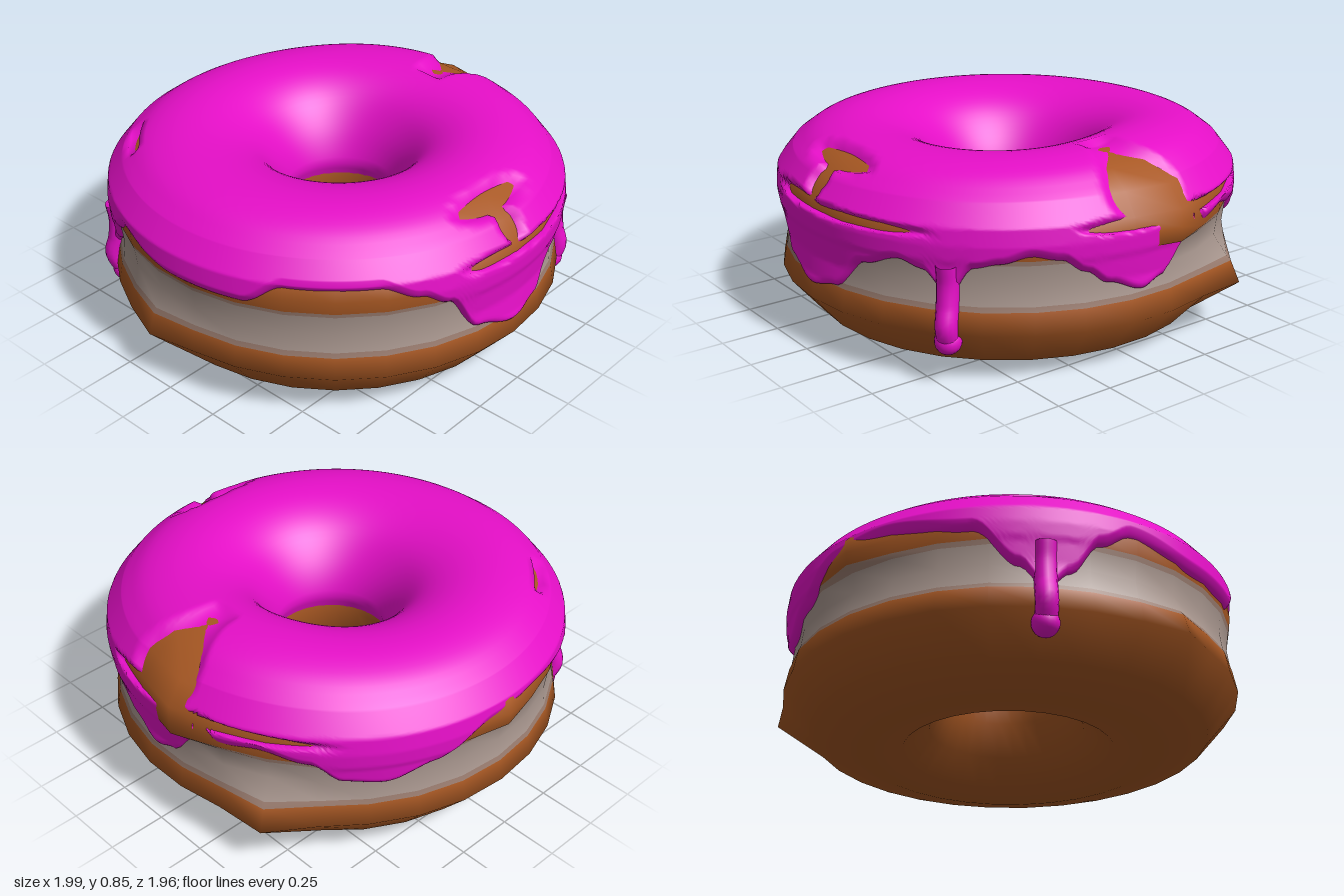
import * as THREE from 'three';

const RAD = Math.PI / 180;
const clamp = THREE.MathUtils.clamp;
const mat = (name, color, side = THREE.FrontSide) =>
  Object.assign(new THREE.MeshStandardMaterial({ color, side }), { name });

// signed angular difference in degrees, and a bell-shaped bump around an angle
const dAng = (a, b) => ((a - b + 540) % 360 + 360) % 360 - 180;
const bump = (a, centre, width) => Math.exp(-((dAng(a, centre) / width) ** 2));

// dough cross-section [radius, height]: hole, over the top, down the wall, under
const PROFILE = [
  [.25, .40], [.26, .50], [.31, .62], [.40, .73], [.52, .79], [.66, .805], [.79, .775],
  [.88, .715], [.945, .635], [.952, .57], [.947, .515], [.94, .495], [.93, .41], [.94, .33],
  [.948, .31], [.965, .22], [.83, .062], [.62, .005], [.45, .025], [.33, .13], [.265, .27],
];
const WALL = PROFILE.slice(7, 17);

// wall radius at a height
function wallRadius(y) {
  for (let i = 0; i < WALL.length - 1; i++) {
    const [r0, y0] = WALL[i], [r1, y1] = WALL[i + 1];
    if (y >= y1) return r0 + (r1 - r0) * clamp((y - y0) / (y1 - y0), 0, 1);
  }
  return .83;
}

// lower rim of the icing: [angle, height], angle 0 = +x, 90 = front
const RIM = [
  [3, .34], [12, .39], [18, .45], [24, .51], [31, .53], [38, .50], [44, .48], [50, .36], [56, .46],
  [62, .49], [72, .44], [81, .31], [90, .28], [102, .33], [111, .50], [118, .56], [128, .62],
  [150, .62], [160, .53], [180, .53], [200, .58], [208, .51], [215, .38], [221, .30], [227, .40],
  [238, .55], [260, .59], [275, .57], [290, .46], [302, .40], [312, .42], [320, .51], [332, .55],
  [342, .53], [346, .57], [350, .48], [357, .37], [363, .34],
];
function rimHeight(deg) {
  const a = deg < 3 ? deg + 360 : deg;
  const i = Math.max(1, RIM.findIndex(p => p[0] >= a));
  const [a0, y0] = RIM[i - 1], [a1, y1] = RIM[i];
  return y0 + (y1 - y0) * THREE.MathUtils.smoothstep(a, a0, a1);
}

// bare patches in the icing: [angle, height, half angle, half height]
const PATCHES = [
  [90, .765, 13, .022], [90, .70, 3, .06], [96, .62, 10, .022], [76, .612, 19, .018],
  [1, .71, 9, .10], [6, .615, 12, .022], [340, .605, 22, .016], [226, .745, 7, .012],
];
const patchDistance = (a, y) =>
  Math.min(...PATCHES.map(([pa, py, w, h]) => (dAng(a, pa) / w) ** 2 + ((y - py) / h) ** 2));

// uneven ring: slightly shifted hole and one raised side
function place(deg, r, y) {
  const lift = .03 * bump(deg, 342, 40) * clamp((y - .5) / .3, 0, 1);
  const shift = .03 * clamp((.6 - r) / .35, 0, 1);
  return [r * Math.cos(deg * RAD) + shift, y + lift, r * Math.sin(deg * RAD)];
}

// ring surface closed around the axis; rows optionally closed too
function ringSurface(nA, nV, point, closed, materialIndex) {
  const pos = [], index = [], geo = new THREE.BufferGeometry();
  for (let j = 0; j < nV; j++)
    for (let i = 0; i < nA; i++) pos.push(...point(i, j));
  for (let j = 0; j < (closed ? nV : nV - 1); j++) {
    const start = index.length, k = (j + 1) % nV;
    for (let i = 0; i < nA; i++) {
      const n = (i + 1) % nA;
      const a = j * nA + i, b = j * nA + n, c = k * nA + i, d = k * nA + n;
      index.push(a, b, c, b, d, c);
    }
    if (materialIndex) geo.addGroup(start, index.length - start, materialIndex(j));
  }
  geo.setAttribute('position', new THREE.Float32BufferAttribute(pos, 3));
  geo.setIndex(index);
  geo.computeVertexNormals();
  return geo;
}

export function createModel() {
  const group = new THREE.Group();
  const crust = mat('brown dough', 0xa85823);
  const edge = mat('pale brown edge', 0x9b7d70);
  const cream = mat('pale middle', 0xaa9890);
  const pink = mat('pink icing', 0xe60fc8, THREE.DoubleSide);

  // dough ring, coarse around, with a pale belt and a few pulled-out corners
  const dough = ringSurface(30, PROFILE.length, (i, j) => {
    const a = 6 + i * 12;
    let [r, y] = PROFILE[j];
    if (r > .85 && y < .35) {
      const low = clamp((.42 - y) / .15, 0, 1);
      r *= 1 + low * (.05 * bump(a, 189, 7) + .085 * bump(a, 330, 8));
    }
    if (r > .85 && y > .5) r *= 1 + .05 * bump(a, 354, 9) + .03 * bump(a, 270, 7);
    return place(a, r, y);
  }, true, j => (j === 10 || j === 13 ? 1 : j === 11 || j === 12 ? 2 : 0));
  const doughMesh = new THREE.Mesh(dough, [crust, edge, cream]);
  doughMesh.name = 'dough';
  group.add(doughMesh);

  // icing: follows the dough from the hole to its wavy rim, sinking at bare patches
  const over = new THREE.CatmullRomCurve3(PROFILE.slice(0, 8).map(p => new THREE.Vector3(p[0], p[1], 0)));
  const nTop = 34, nWall = 38, nA = 300;
  const topPoints = over.getSpacedPoints(nTop - 1);
  const icing = ringSurface(nA, nTop + nWall, (i, j) => {
    const a = i * 360 / nA;
    let r, y, thick = .024;
    if (j < nTop) {
      r = topPoints[j].x;
      y = topPoints[j].y;
      if (j < 3) thick = -.01 + j * .011;
    } else {
      const rim = rimHeight(a);
      y = .715 + (rim - .715) * (j - nTop + 1) / nWall;
      r = wallRadius(y);
      thick = -.012 + .036 * Math.sqrt(clamp((y - rim) / .035, 0, 1));
    }
    if (r > .6) thick = Math.min(thick, .024 * clamp((patchDistance(a, y) - 1) * 1.5, -1.3, 1));
    const dir = new THREE.Vector2(r - .6, y - .45).normalize();
    return place(a, r + dir.x * thick, y + dir.y * thick);
  }, false);
  const icingMesh = new THREE.Mesh(icing, pink);
  icingMesh.name = 'icing';
  group.add(icingMesh);

  // long drips with a rounded drop at the end
  for (const [a, endY, radius] of [[50, .185, .044], [221, .17, .045]]) {
    const pts = [.50, .42, .33, .25, endY].map(y =>
      new THREE.Vector3(...place(a, wallRadius(y) + .006, y)));
    const drip = new THREE.Group();
    drip.name = 'drip';
    const run = new THREE.Mesh(
      new THREE.TubeGeometry(new THREE.CatmullRomCurve3(pts), 20, radius, 14), pink);
    run.name = 'dripRun';
    const drop = new THREE.Mesh(new THREE.SphereGeometry(radius + .01, 20, 14), pink);
    drop.name = 'dripDrop';
    drop.position.copy(pts[pts.length - 1]);
    drip.add(run, drop);
    group.add(drip);
  }
  return group;
}
